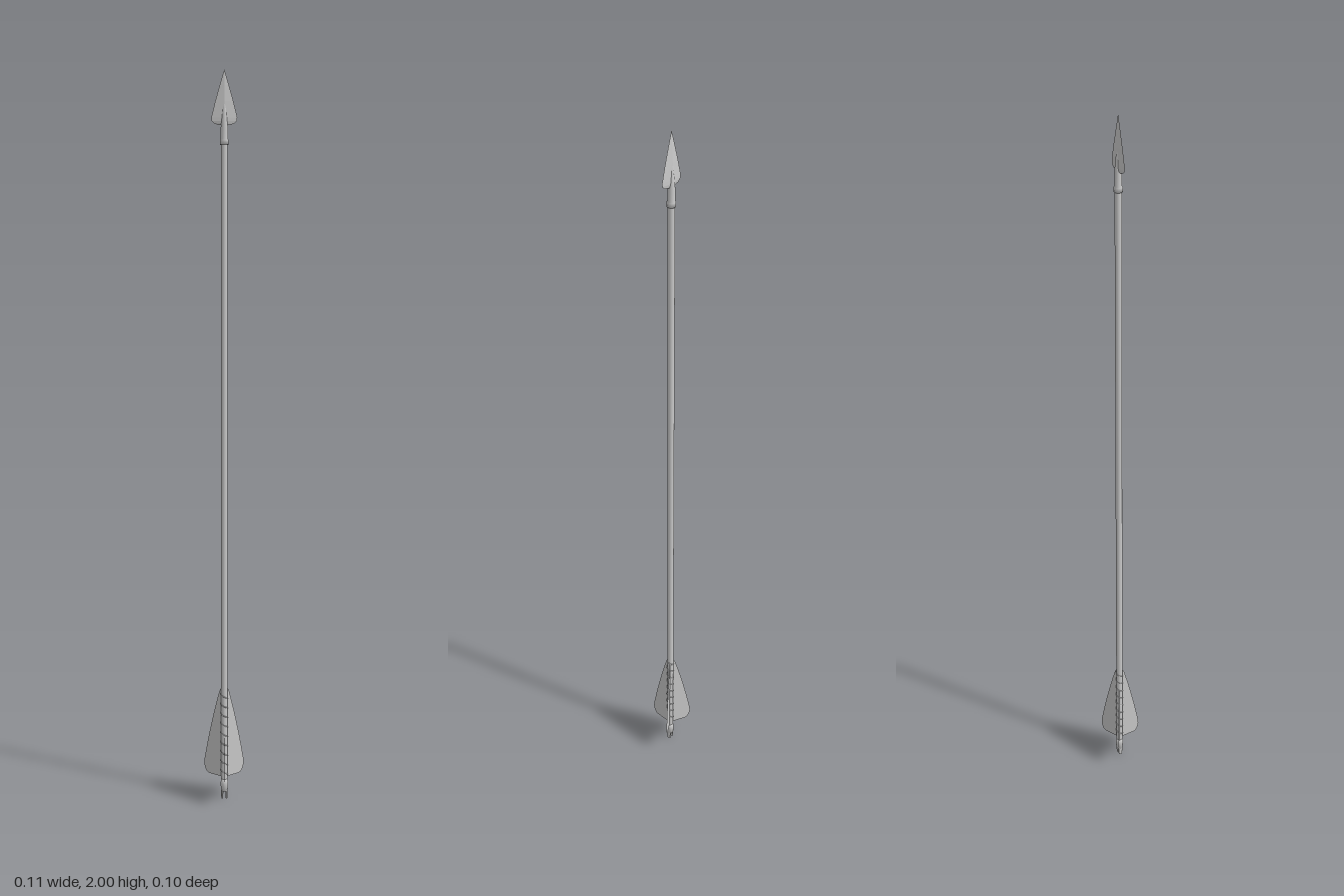
import * as THREE from 'three';

const AXIS_Z = -0.016; // three vanes put the shaft slightly behind centre

export function createModel() {
  const group = new THREE.Group();
  const arrow = new THREE.Group();
  arrow.name = 'arrow';
  arrow.position.z = AXIS_Z;
  group.add(arrow);

  const smooth = new THREE.MeshStandardMaterial({ color: 0xcccccc });
  const flat = new THREE.MeshStandardMaterial({ color: 0xcccccc, flatShading: true });
  const thin = new THREE.MeshStandardMaterial({ color: 0xcccccc, side: THREE.DoubleSide });

  function add(name, geometry, material, parent = arrow) {
    const mesh = new THREE.Mesh(geometry, material);
    mesh.name = name;
    parent.add(mesh);
    return mesh;
  }
  const lathe = (points) =>
    new THREE.LatheGeometry(points.map(([r, y]) => new THREE.Vector2(r, y)), 16);

  // Shaft
  add('shaft', new THREE.CylinderGeometry(0.009, 0.009, 1.79, 16).translate(0, 0.925, 0), smooth);

  // Socket that grips the shaft and tapers into the blade
  add('headSocket', lathe([
    [0, 1.808], [0.0115, 1.808], [0.0115, 1.82], [0.0095, 1.822],
    [0.0095, 1.85], [0.008, 1.875], [0.0045, 1.91], [0, 1.94],
  ]), smooth);

  // Blade: stacked flat diamond sections [y, half width, half thickness]
  const sections = [
    [1.858, 0.012, 0.003], [1.862, 0.026, 0.004], [1.869, 0.033, 0.005],
    [1.878, 0.034, 0.005], [1.92, 0.0235, 0.004], [1.96, 0.012, 0.0025], [2.0, 0, 0],
  ];
  const positions = [];
  const index = [];
  sections.forEach(([y, w, t]) => positions.push(w, y, 0, 0, y, t, -w, y, 0, 0, y, -t));
  for (let s = 0; s < sections.length - 1; s++) {
    for (let k = 0; k < 4; k++) {
      const a = s * 4 + k, b = s * 4 + (k + 1) % 4;
      index.push(a, a + 4, b, b, a + 4, b + 4);
    }
  }
  index.push(0, 1, 2, 0, 2, 3);
  const blade = new THREE.BufferGeometry();
  blade.setAttribute('position', new THREE.Float32BufferAttribute(positions, 3));
  blade.setIndex(index);
  blade.computeVertexNormals();
  add('headBlade', blade, flat);

  // Three thin vanes, the first pointing forward
  const vane = new THREE.Shape();
  vane.moveTo(0.006, 0.062);
  vane.lineTo(0.048, 0.065);
  vane.quadraticCurveTo(0.06, 0.067, 0.064, 0.09);
  vane.quadraticCurveTo(0.065, 0.1, 0.061, 0.118);
  vane.quadraticCurveTo(0.042, 0.22, 0.016, 0.31);
  vane.quadraticCurveTo(0.012, 0.322, 0.006, 0.325);
  vane.closePath();
  const vaneGeometry = new THREE.ShapeGeometry(vane, 8);
  for (let i = 0; i < 3; i++) {
    add('vane', vaneGeometry, thin).rotation.y = -Math.PI / 2 + i * Math.PI * 2 / 3;
  }

  // Thread wound around the vane roots
  const turns = 9;
  const helix = [];
  for (let i = 0; i <= turns * 12; i++) {
    const a = i * Math.PI / 6;
    helix.push(new THREE.Vector3(
      0.0092 * Math.cos(a), 0.07 + 0.25 * i / (turns * 12), 0.0092 * Math.sin(a)));
  }
  add('binding', new THREE.TubeGeometry(new THREE.CatmullRomCurve3(helix), 216, 0.0015, 5), smooth);

  // Nock with a string slot between two prongs
  add('nock', lathe([[0, 0.022], [0.0095, 0.022], [0.0105, 0.045], [0.009, 0.058], [0, 0.058]]), smooth);
  for (const side of [1, -1]) {
    const prong = new THREE.CylinderGeometry(0.0035, 0.0025, 0.026, 8);
    prong.scale(1, 1, 2.2).translate(side * 0.006, 0.013, 0);
    add('nockProng', prong, smooth);
  }

  return group;
}
